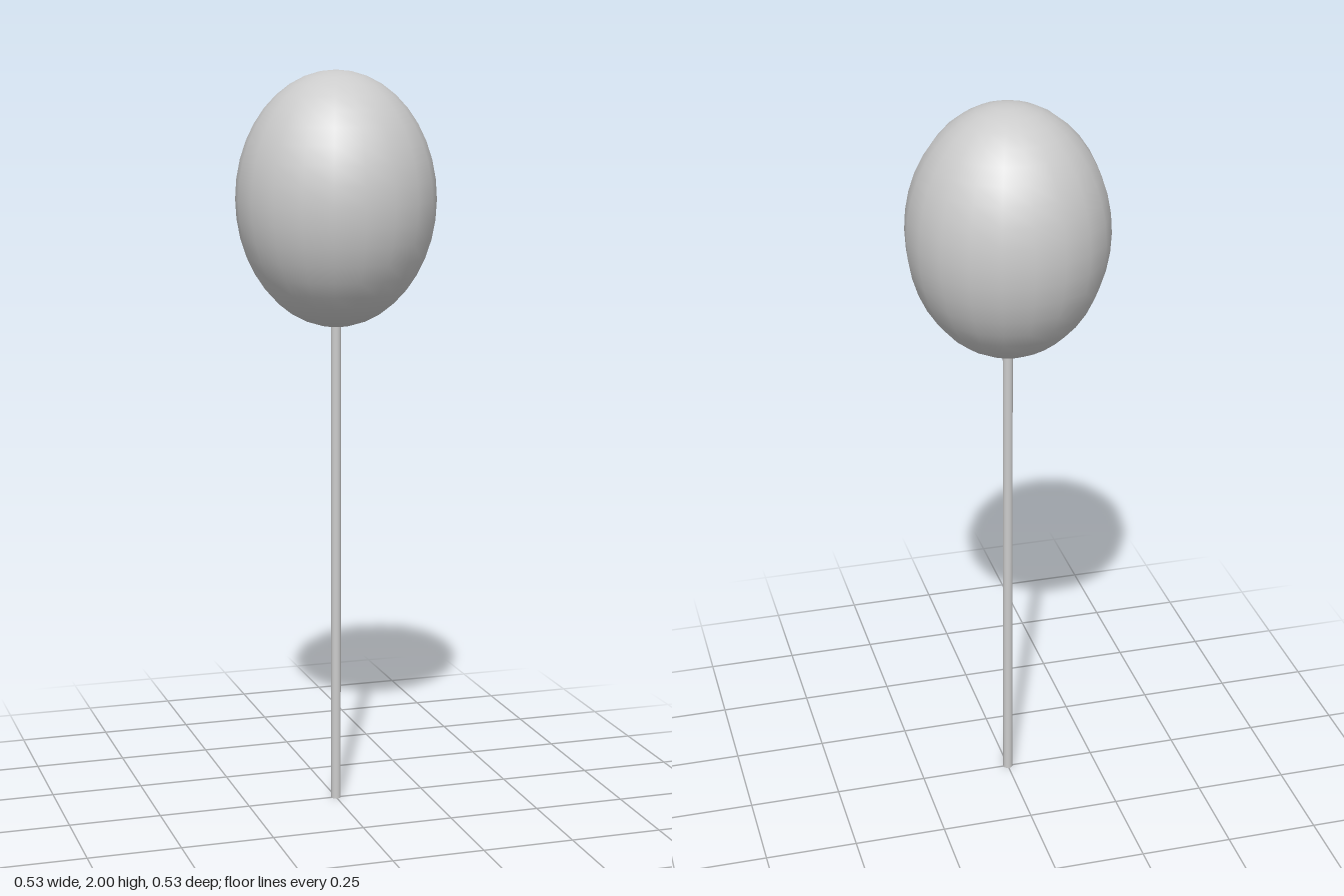
import * as THREE from 'three';

export function createModel() {
  const group = new THREE.Group();
  const material = new THREE.MeshStandardMaterial({ color: 0xcccccc });

  // Egg-shaped head: a 20-sided smooth sphere stretched upwards
  const headRadius = 0.267, headHalfHeight = 0.339;
  const headGeometry = new THREE.SphereGeometry(1, 20, 20);
  headGeometry.scale(headRadius, headHalfHeight, headRadius);
  const head = new THREE.Mesh(headGeometry, material);
  head.name = 'head';
  head.position.y = 2 - headHalfHeight;
  group.add(head);

  // Thin straight stick, ending just inside the head
  const stickHeight = 1.333;
  const stick = new THREE.Mesh(new THREE.CylinderGeometry(0.0133, 0.0133, stickHeight, 20), material);
  stick.name = 'stick';
  stick.position.y = stickHeight / 2;
  group.add(stick);

  return group;
}
